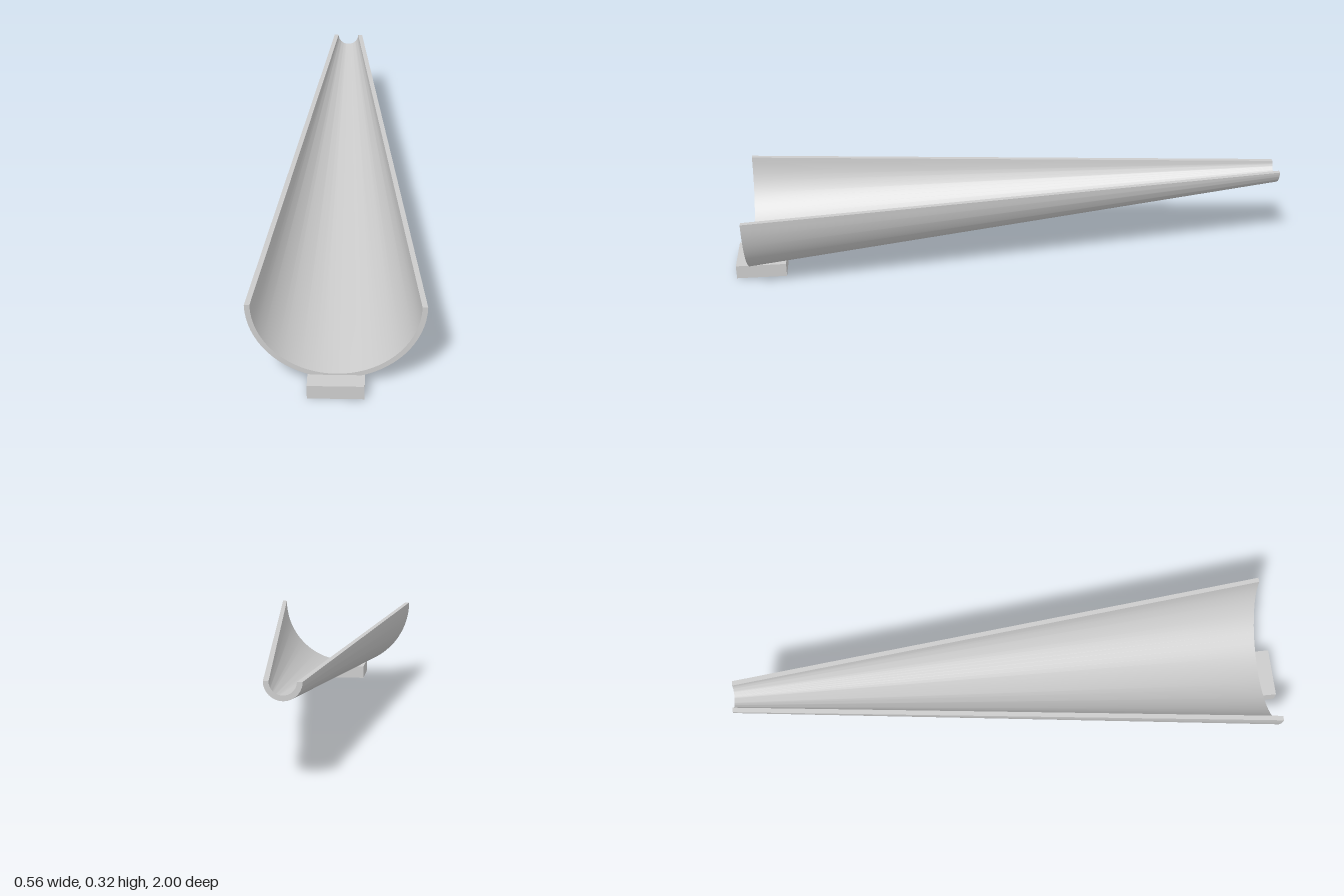
import * as THREE from 'three';
import { toCreasedNormals } from 'three/addons/utils/BufferGeometryUtils.js';

const AXIS_Y = 0.317, FRONT = 0.945, BACK = -1;
const OUT_FRONT = 0.279, OUT_BACK = 0.059, WALL = 0.017;

export function createModel() {
  const group = new THREE.Group();
  const material = new THREE.MeshStandardMaterial({ color: 0xcccccc });
  const add = (name, geometry, y, z) => {
    const mesh = new THREE.Mesh(geometry, material);
    mesh.name = name;
    mesh.position.set(0, y, z);
    group.add(mesh);
  };

  // Wall section (radius, z): outside, front edge, inside, back edge
  const section = [
    [OUT_BACK, BACK], [OUT_FRONT, FRONT],
    [OUT_FRONT - WALL, FRONT], [OUT_BACK - WALL, BACK], [OUT_BACK, BACK],
  ].map(([r, z]) => new THREE.Vector2(r, z));

  // Tapered half-round trough, its axis turned to run along z
  const trough = new THREE.LatheGeometry(section, 36, -Math.PI / 2, Math.PI);
  trough.rotateX(Math.PI / 2);
  add('trough', toCreasedNormals(trough, Math.PI / 6), AXIS_Y, 0);

  // Flat top edges closing the wall on both sides
  for (const [name, side] of [['leftRim', 1], ['rightRim', -1]]) {
    const outline = section.slice(0, 4).map((p) => new THREE.Vector2(side * p.x, -p.y));
    const rim = new THREE.ShapeGeometry(new THREE.Shape(outline));
    rim.rotateX(-Math.PI / 2);
    add(name, rim, AXIS_Y, 0);
  }

  // Foot block under the wide end
  add('foot', new THREE.BoxGeometry(0.18, 0.05, 0.18), 0.025, 0.91);

  return group;
}
